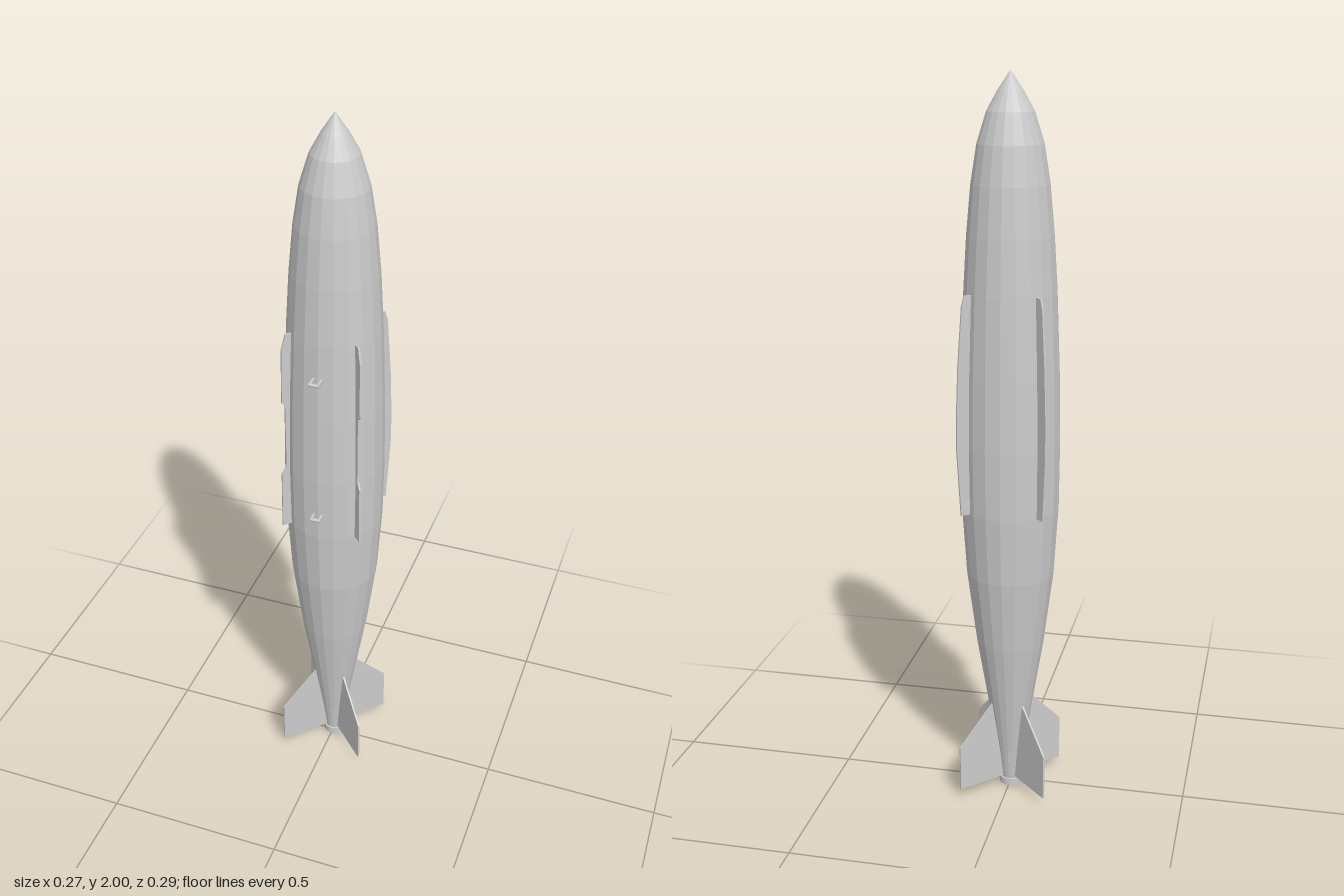
import * as THREE from 'three';

const material = new THREE.MeshStandardMaterial({ color: 0xcccccc, flatShading: true });

function part(name, geometry) {
  const mesh = new THREE.Mesh(geometry, material);
  mesh.name = name;
  return mesh;
}

// Thin plate drawn as (radius, height) points, standing radially at an angle around the axis
function plate(name, points, thickness, angle) {
  const shape = new THREE.Shape(points.map(([r, y]) => new THREE.Vector2(r, y)));
  const geometry = new THREE.ExtrudeGeometry(shape, { depth: thickness, bevelEnabled: false });
  geometry.translate(0, 0, -thickness / 2);
  const mesh = part(name, geometry);
  mesh.rotation.y = angle;
  return mesh;
}

// Suspension lug: two posts joined by a rounded crossbar
function lug(y) {
  const group = new THREE.Group();
  group.name = 'suspensionLug';
  for (const x of [-0.011, 0.011]) {
    const post = part('lugPost', new THREE.BoxGeometry(0.006, 0.009, 0.034));
    post.position.set(x, 0, 0.139);
    group.add(post);
  }
  const bar = part('lugBar', new THREE.CylinderGeometry(0.005, 0.005, 0.028, 8));
  bar.rotation.z = Math.PI / 2;
  bar.position.set(0, 0, 0.154);
  group.add(bar);
  group.position.y = y;
  return group;
}

export function createModel() {
  const model = new THREE.Group();
  model.name = 'finnedStore';
  const store = new THREE.Group();
  store.name = 'store';
  store.position.z = -0.013;
  model.add(store);

  // Streamlined body with a small tail collar
  const profile = [
    [0, 0], [0.031, 0], [0.031, 0.02], [0.026, 0.02], [0.038, 0.11], [0.061, 0.25],
    [0.094, 0.45], [0.121, 0.66], [0.133, 0.85], [0.135, 1.03], [0.132, 1.22],
    [0.124, 1.44], [0.115, 1.59], [0.103, 1.72], [0.087, 1.82], [0.062, 1.9],
    [0.034, 1.95], [0, 2],
  ].map(([r, y]) => new THREE.Vector2(r, y));
  store.add(part('body', new THREE.LatheGeometry(profile, 20)));

  const fin = [[0.015, 0.025], [0.17, 0.025], [0.17, 0.155], [0.06, 0.268], [0.045, 0.25]];
  const rearStrake = [
    [0.12, 0.85], [0.158, 0.85], [0.169, 1.03], [0.169, 1.12], [0.163, 1.26],
    [0.15, 1.42], [0.142, 1.445], [0.115, 1.445],
  ];
  // Front strakes have a shallow notch at mid length
  const frontStrake = [
    [0.12, 0.85], [0.157, 0.85], [0.156, 1.02], [0.143, 1.04], [0.143, 1.235],
    [0.152, 1.245], [0.15, 1.4], [0.138, 1.445], [0.115, 1.445],
  ];

  for (let i = 0; i < 4; i++) {
    const angle = Math.PI / 4 + (i * Math.PI) / 2;
    store.add(plate('tailFin', fin, 0.005, angle));
    // The first two angles face the back
    const rear = i < 2;
    store.add(plate(rear ? 'rearStrake' : 'frontStrake', rear ? rearStrake : frontStrake, 0.005, angle));
  }

  for (const y of [1.347, 0.925]) store.add(lug(y));
  return model;
}
